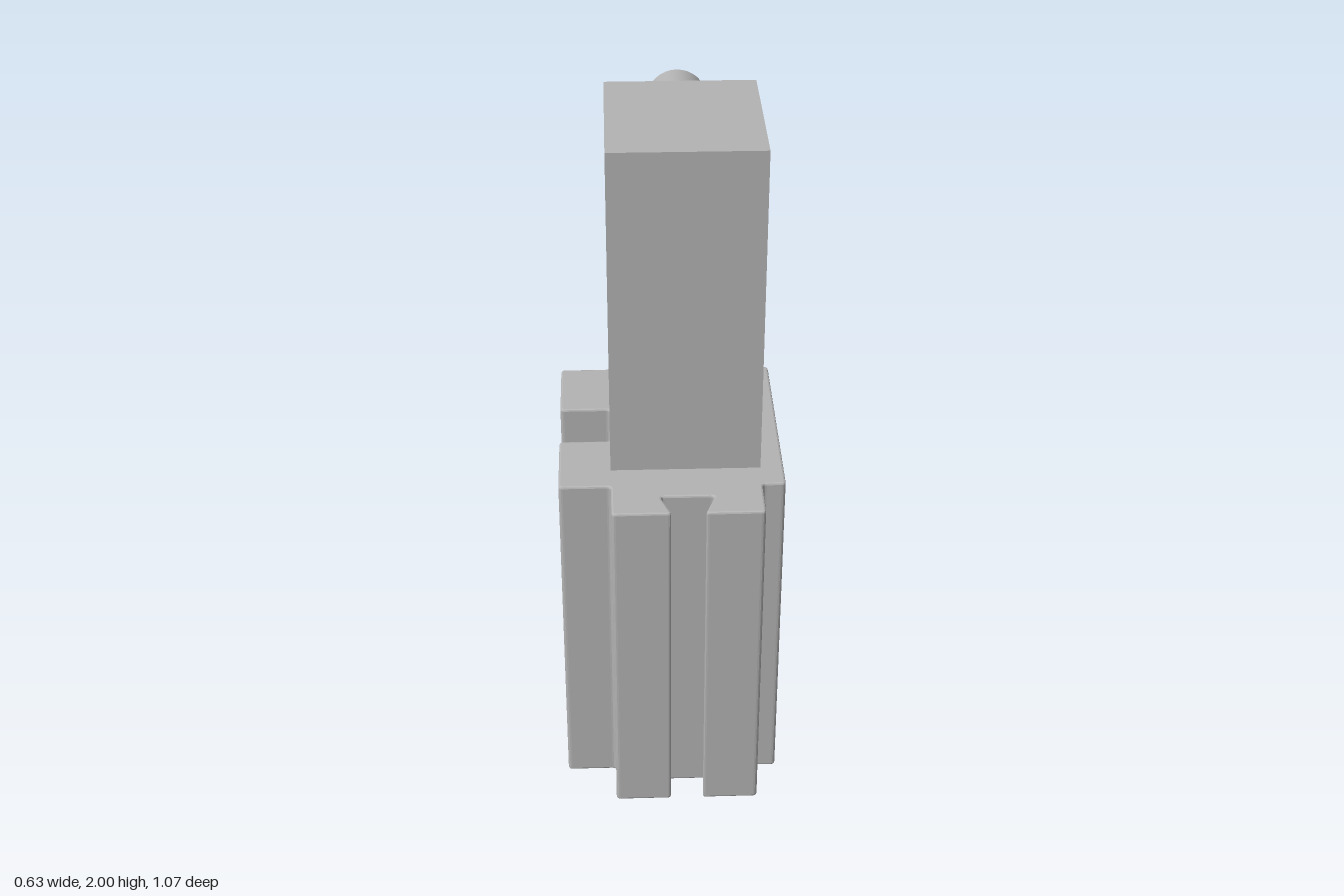
import * as THREE from 'three';

// Closed outline with every corner filleted; points are [x, z].
function filletedShape(points, radius) {
  const shape = new THREE.Shape();
  const pts = points.map(([x, z]) => new THREE.Vector2(x, -z));
  const toward = (from, to) => to.clone().sub(from).setLength(radius).add(from);
  pts.forEach((p, i) => {
    const a = toward(p, pts[(i + pts.length - 1) % pts.length]);
    const b = toward(p, pts[(i + 1) % pts.length]);
    if (i === 0) shape.moveTo(a.x, a.y);
    else shape.lineTo(a.x, a.y);
    shape.quadraticCurveTo(p.x, p.y, b.x, b.y);
  });
  shape.closePath();
  return shape;
}

export function createModel() {
  const model = new THREE.Group();
  model.name = 'slottedPost';
  const grey = new THREE.MeshStandardMaterial({ color: 0xb3b3b3 });
  grey.name = 'grey';

  const add = (name, geometry, x, y, z) => {
    const mesh = new THREE.Mesh(geometry, grey);
    mesh.name = name;
    mesh.position.set(x, y, z);
    model.add(mesh);
    return mesh;
  };

  // Slotted base: stepped corners, dovetail slots front and back, square slot on one side
  const outline = [
    [-0.17, 0.535], [-0.005, 0.535], [-0.035, 0.453], [0.115, 0.453], [0.085, 0.535], [0.25, 0.535],
    [0.25, 0.4], [0.315, 0.4], [0.315, -0.24], [0.25, -0.24],
    [0.25, -0.375], [0.085, -0.375], [0.115, -0.293], [-0.035, -0.293], [-0.005, -0.375], [-0.17, -0.375],
    [-0.17, -0.24], [-0.315, -0.24], [-0.315, -0.006], [-0.17, -0.006],
    [-0.17, 0.165], [-0.315, 0.165], [-0.315, 0.4], [-0.17, 0.4],
  ];
  const bevel = 0.006, baseHeight = 1.04;
  const base = new THREE.ExtrudeGeometry(filletedShape(outline, 0.012), {
    depth: baseHeight - 2 * bevel,
    bevelThickness: bevel, bevelSize: bevel, bevelOffset: -bevel, bevelSegments: 2,
    curveSegments: 4,
  });
  base.rotateX(-Math.PI / 2);
  add('slottedBase', base, 0, bevel, 0);

  // Square pillar standing on the base
  add('pillar', new THREE.BoxGeometry(0.42, 0.96, 0.478), 0.04, 1.52, 0.08);

  // Round peg out of the back of the pillar
  const peg = new THREE.CylinderGeometry(0.088, 0.088, 0.376, 32);
  peg.rotateX(Math.PI / 2);
  add('peg', peg, 0.046, 1.798, -0.347);

  return model;
}
